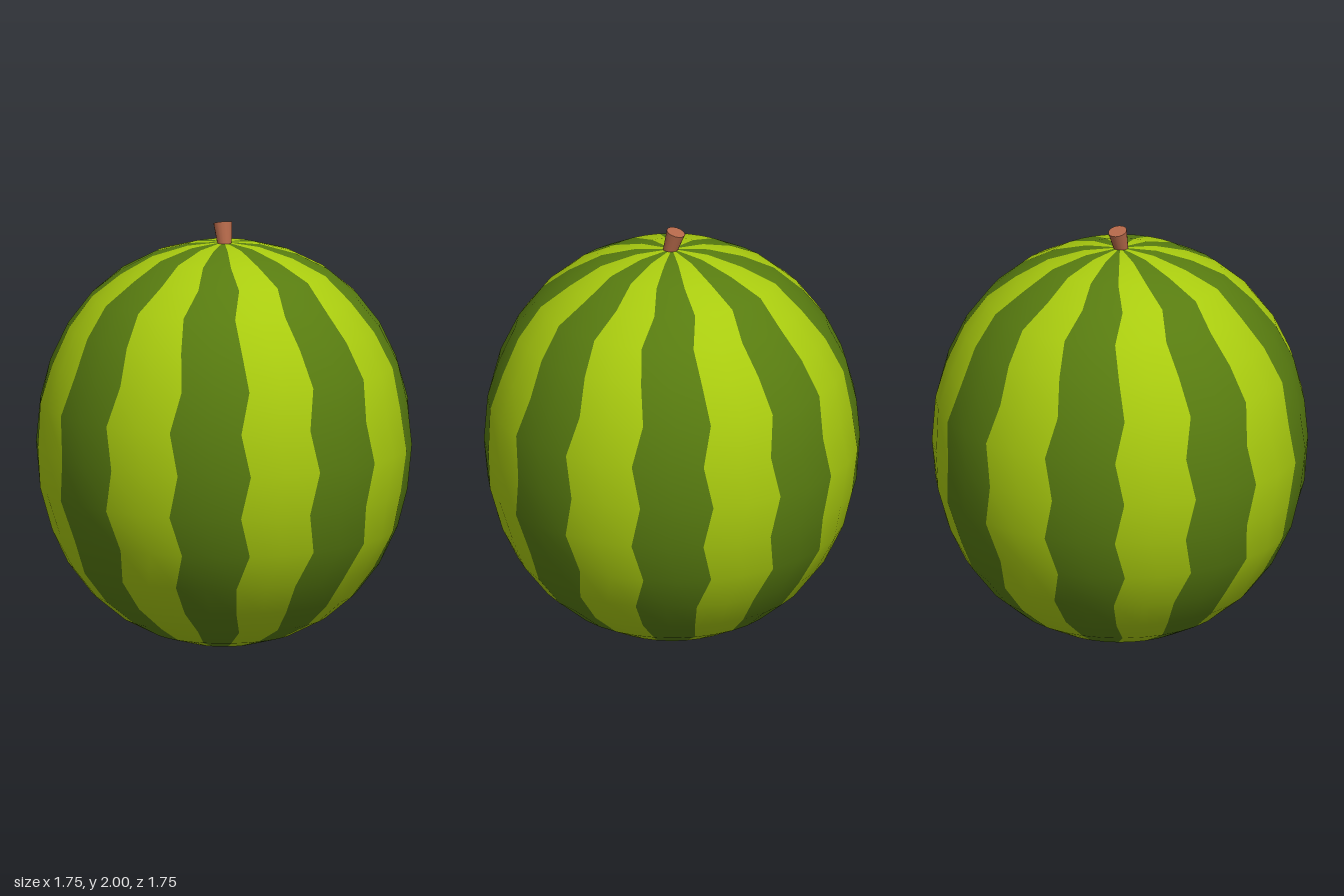
import * as THREE from 'three';

const SEGMENTS = 32, ROWS = 16, RADIUS = 0.875, HALF_HEIGHT = 0.95;
// sideways shift of each ring in degrees, which makes the stripes zigzag
const SHIFT = [0, 1, 0.8, 3.5, 0, 1.8, 3.6, 0.6, 3.4, 0.5, 3.7, -0.2, 0.6, 3.5, 1, 1, 0];

function createRindGeometry() {
  const positions = [];
  for (let row = 0; row <= ROWS; row++) {
    const polar = Math.PI * row / ROWS, c = Math.cos(polar);
    const r = RADIUS * Math.sin(polar);
    // slightly flattened poles
    const y = HALF_HEIGHT * (1 + c * (1.08 - 0.08 * c * c));
    for (let s = 0; s < SEGMENTS; s++) {
      const a = THREE.MathUtils.degToRad((s - 1) * 360 / SEGMENTS + SHIFT[row]);
      positions.push(r * Math.sin(a), y, r * Math.cos(a));
    }
  }
  // faces sorted into light and dark stripes, each two segments wide
  const stripes = [[], []];
  for (let s = 0; s < SEGMENTS; s++) {
    const faces = stripes[Math.floor(s / 2) % 2], next = (s + 1) % SEGMENTS;
    for (let row = 0; row < ROWS; row++) {
      const a = row * SEGMENTS + s, b = row * SEGMENTS + next;
      const c = a + SEGMENTS, d = b + SEGMENTS;
      if (row < ROWS - 1) faces.push(a, c, d);
      if (row > 0) faces.push(a, d, b);
    }
  }
  const geometry = new THREE.BufferGeometry();
  geometry.setAttribute('position', new THREE.Float32BufferAttribute(positions, 3));
  geometry.setIndex([...stripes[0], ...stripes[1]]);
  geometry.addGroup(0, stripes[0].length, 0);
  geometry.addGroup(stripes[0].length, stripes[1].length, 1);
  geometry.computeVertexNormals();
  // the pole points share one straight normal
  const normal = geometry.attributes.normal;
  for (let s = 0; s < SEGMENTS; s++) {
    normal.setXYZ(s, 0, 1, 0);
    normal.setXYZ(ROWS * SEGMENTS + s, 0, -1, 0);
  }
  return geometry;
}

export function createModel() {
  const material = (name, color) => {
    const m = new THREE.MeshStandardMaterial({ color });
    m.name = name;
    return m;
  };
  const lightGreen = material('lightGreen', 0xa9cb0f);
  const darkGreen = material('darkGreen', 0x587c10);
  const brown = material('stemBrown', 0xb5694a);

  const model = new THREE.Group();
  model.name = 'watermelon';

  const rind = new THREE.Mesh(createRindGeometry(), [lightGreen, darkGreen]);
  rind.name = 'stripedRind';
  model.add(rind);

  // flared stem leaning backwards
  const stemGeometry = new THREE.CylinderGeometry(0.044, 0.03, 0.13, 16);
  stemGeometry.translate(0, -0.065, 0);
  const stem = new THREE.Mesh(stemGeometry, brown);
  stem.name = 'stem';
  stem.position.set(0, 1.987, -0.02);
  stem.rotation.x = -0.3;
  model.add(stem);

  return model;
}
